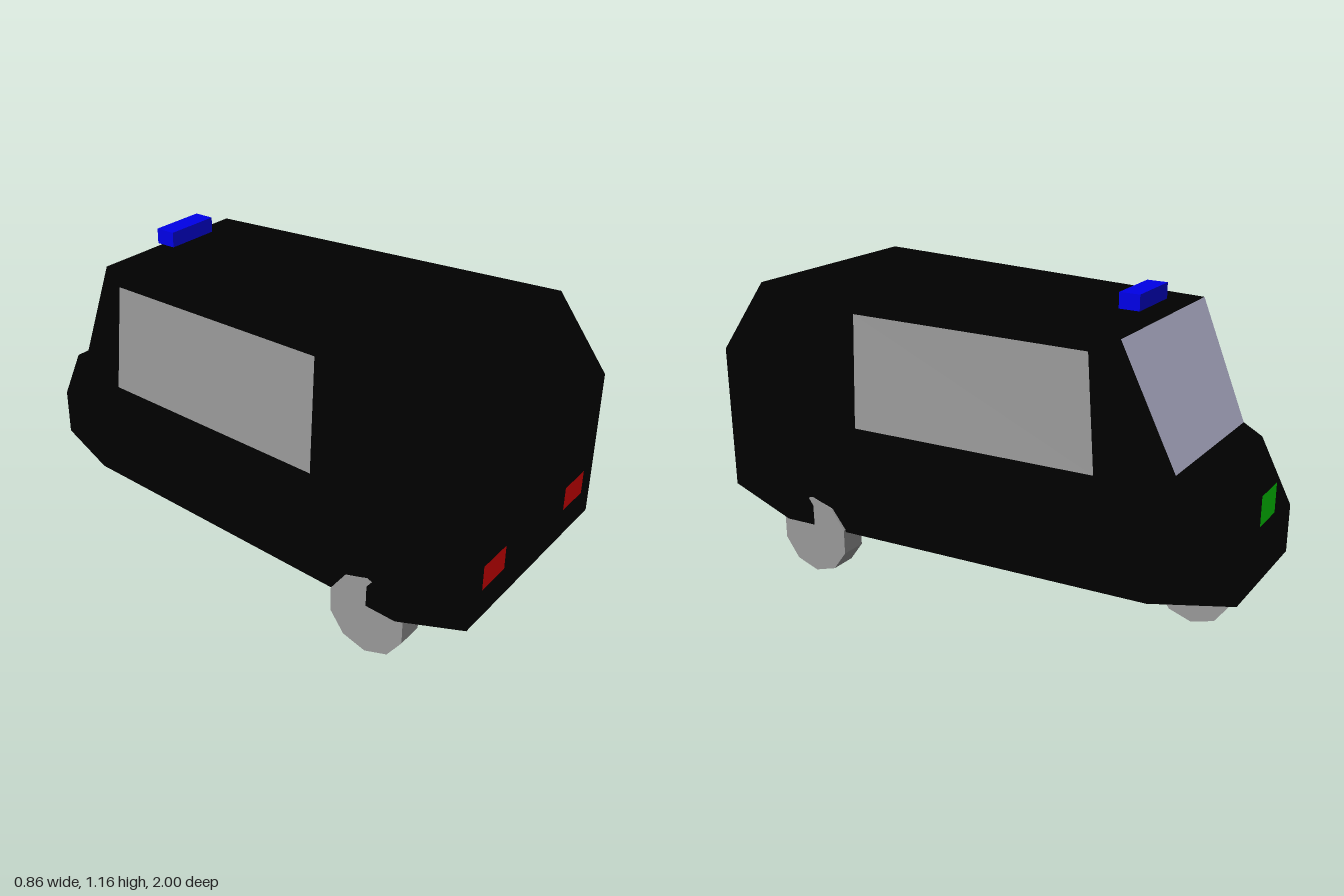
import * as THREE from 'three';

const mat = (name, color) => {
  const m = new THREE.MeshStandardMaterial({ color, flatShading: true });
  m.name = name;
  return m;
};

// Flat-faced mesh from polygons, each a list of [x, y, z] corners (counter-clockwise from outside)
function faces(name, material, polygons) {
  const pos = [];
  for (const p of polygons)
    for (let i = 1; i < p.length - 1; i++) pos.push(...p[0], ...p[i], ...p[i + 1]);
  const g = new THREE.BufferGeometry();
  g.setAttribute('position', new THREE.Float32BufferAttribute(pos, 3));
  g.computeVertexNormals();
  const mesh = new THREE.Mesh(g, material);
  mesh.name = name;
  return mesh;
}

export function createModel() {
  const model = new THREE.Group();
  model.name = 'van';
  const black = mat('black paint', 0x000000);
  const grey = mat('grey', 0x999999);
  const glass = mat('windscreen glass', 0xb2b2cc);
  const red = mat('red lamp', 0xff0000);
  const green = mat('green plate', 0x00ff00);
  const blue = mat('blue lamp', 0x0000ff);

  // Side outline: [z, y, half width], from the tail over the roof to the nose and back underneath
  const outline = [
    [1, 0.28, 0.43], [1, 0.83, 0.43], [0.82, 1.10, 0.40], [-0.60, 1.075, 0.33], [-0.79, 0.65, 0.295],
    [-0.87, 0.62, 0.27], [-1, 0.40, 0.24], [-1, 0.22, 0.24], [-0.72, 0.19, 0.322], [0.74, 0.19, 0.43],
  ];
  const at = (i, s) => {
    const [z, y, w] = outline[i % outline.length];
    return [s * w, y, z];
  };
  // Strip across the body between outline points i and i + 1
  const strip = i => [at(i, -1), at(i, 1), at(i + 1, 1), at(i + 1, -1)];
  model.add(faces('bodyShell', black, [0, 1, 2, 4, 5, 6].map(strip)));
  model.add(faces('windscreen', glass, [strip(3)]));
  model.add(faces('underside', grey, [7, 8, 9].map(strip)));

  // Body sides and their windows, mirrored
  const sideTriangles = [[0, 9, 1], [1, 9, 2], [2, 9, 3], [9, 8, 3], [3, 8, 4], [4, 8, 5], [5, 8, 6], [6, 8, 7]];
  const pane = [[0.41, 1.04, 0.39], [0.43, 0.625, 0.39], [0.376, 0.625, -0.54], [0.364, 1.03, -0.505]];
  for (const s of [1, -1]) {
    const side = s > 0 ? 'left' : 'right';
    const wind = p => (s > 0 ? p : [...p].reverse());
    model.add(faces(side + 'BodySide', black, sideTriangles.map(t => wind(t.map(i => at(i, s))))));
    model.add(faces(side + 'SideWindow', grey, [wind(pane.map(([x, y, z]) => [s * x, y, z]))]));
  }

  // Three ten-sided wheels with a corner at the bottom
  const wheel = (name, r, width, x, z) => {
    const g = new THREE.CylinderGeometry(r, r, width, 10).rotateZ(Math.PI / 2);
    // turn so that one corner points straight down
    const p = g.attributes.position;
    let a = 0;
    for (let i = 0; i < p.count; i++)
      if (Math.hypot(p.getY(i), p.getZ(i)) > r * 0.9) { a = Math.atan2(p.getZ(i), p.getY(i)); break; }
    g.rotateX(Math.PI - a);
    const m = new THREE.Mesh(g, grey);
    m.name = name;
    m.position.set(x, r, z);
    model.add(m);
  };
  wheel('leftRearWheel', 0.152, 0.10, 0.371, 0.62);
  wheel('rightRearWheel', 0.152, 0.10, -0.371, 0.62);
  wheel('noseWheel', 0.145, 0.076, 0, -0.767);

  // Flat lamps and plate
  const plate = (name, material, w, h, x, y, z, turn = 0) => {
    const m = new THREE.Mesh(new THREE.PlaneGeometry(w, h), material);
    m.name = name;
    m.position.set(x, y, z);
    m.rotation.y = turn;
    model.add(m);
  };
  plate('leftTailLamp', red, 0.142, 0.09, 0.282, 0.437, 1.003);
  plate('rightTailLamp', red, 0.142, 0.09, -0.282, 0.437, 1.003);
  plate('nosePlate', green, 0.14, 0.11, 0, 0.49, -1, Math.PI);

  // Lamp bar hovering above the roof
  const bar = new THREE.Mesh(new THREE.BoxGeometry(0.214, 0.056, 0.076), blue);
  bar.name = 'roofLamp';
  bar.position.set(0, 1.137, -0.517);
  model.add(bar);

  return model;
}
